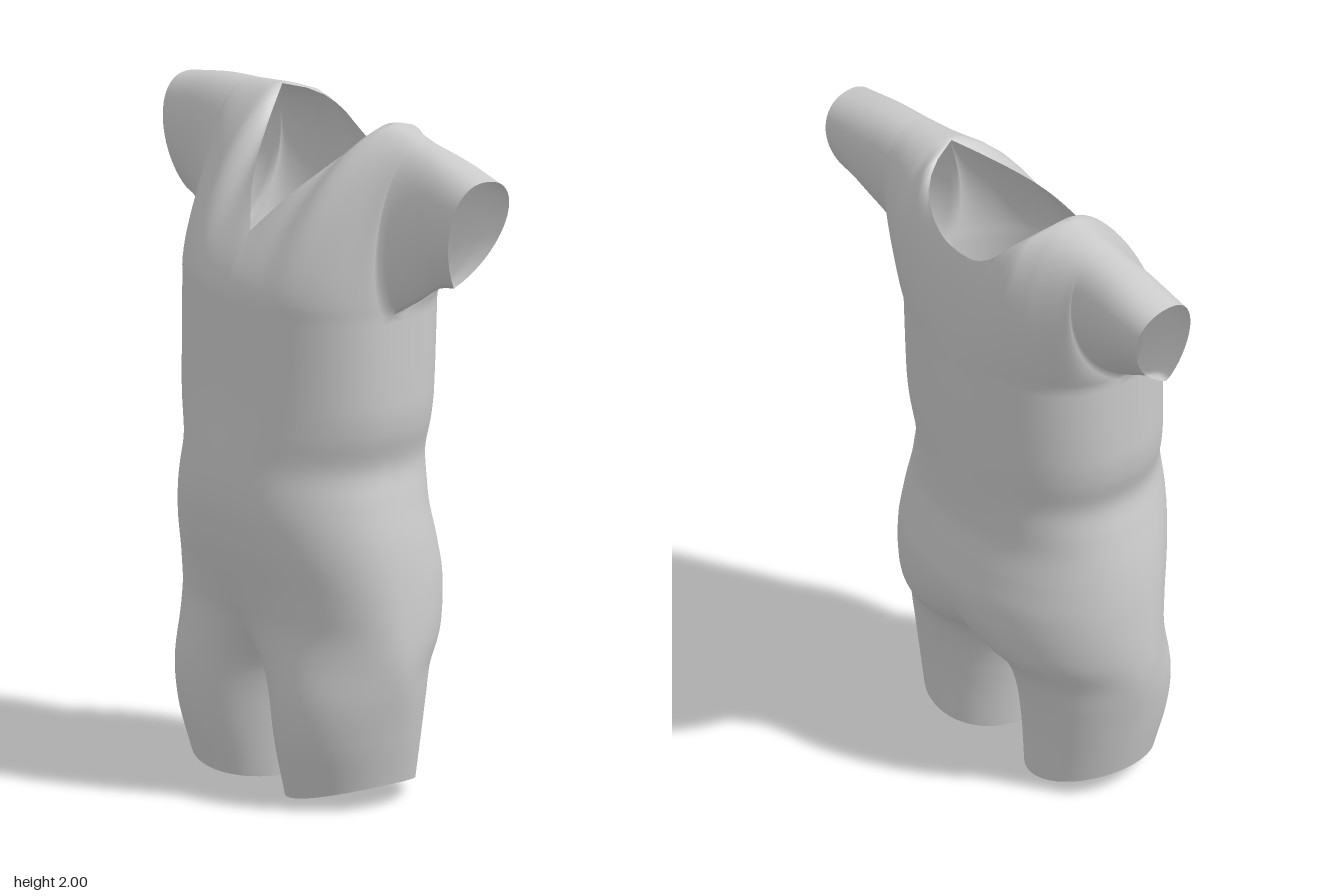
import * as THREE from 'three';
import { mergeGeometries, mergeVertices } from 'three/addons/utils/BufferGeometryUtils.js';

// Smooth curve through [t, value] keys, without overshoot
function keyed(keys) {
  const step = (i) => keys[i + 1][0] - keys[i][0];
  const slope = (i) => (keys[i + 1][1] - keys[i][1]) / step(i);
  const tangent = (i) => {
    if (i === 0) return slope(0);
    if (i === keys.length - 1) return slope(i - 1);
    const a = slope(i - 1), b = slope(i);
    if (a * b <= 0) return 0;
    const limit = 3 * Math.min(Math.abs(a), Math.abs(b));
    return THREE.MathUtils.clamp((a * step(i) + b * step(i - 1)) / (step(i) + step(i - 1)), -limit, limit);
  };
  return (t) => {
    let i = 0;
    while (i < keys.length - 2 && t > keys[i + 1][0]) i++;
    const h = step(i);
    const s = THREE.MathUtils.clamp((t - keys[i][0]) / h, 0, 1);
    const s2 = s * s, s3 = s2 * s;
    return (2 * s3 - 3 * s2 + 1) * keys[i][1] + (s3 - 2 * s2 + s) * h * tangent(i)
      + (3 * s2 - 2 * s3) * keys[i + 1][1] + (s3 - s2) * h * tangent(i + 1);
  };
}

// Grid surface; point(i, j) returns [x, y, z]
function sheet(cols, rows, point, flip) {
  const pos = [], index = [];
  for (let j = 0; j <= rows; j++) for (let i = 0; i <= cols; i++) pos.push(...point(i, j));
  for (let j = 0; j < rows; j++) for (let i = 0; i < cols; i++) {
    const a = j * (cols + 1) + i, b = a + 1, c = b + cols + 1, d = a + cols + 1;
    index.push(...(flip ? [a, c, b, a, d, c] : [a, b, c, a, c, d]));
  }
  const g = new THREE.BufferGeometry();
  g.setAttribute('position', new THREE.Float32BufferAttribute(pos, 3));
  g.setIndex(index);
  return g;
}

const COLS = 28, SLEEVE_COLS = 12, CROTCH = 0.42, CHEST = 1.48, CHEST_W = 0.41;

// Body outline by height
const halfWidth = keyed([[0.03, 0.4], [0.2, 0.435], [0.45, 0.47], [0.6, 0.46], [0.8, 0.43],
  [0.92, 0.4], [1.01, 0.38], [1.12, 0.405], [1.2, 0.413], [1.48, CHEST_W]]);
const frontZ = keyed([[0.03, 0.2], [0.2, 0.245], [0.38, 0.26], [0.51, 0.257], [0.6, 0.273],
  [0.78, 0.32], [0.9, 0.335], [1.2, 0.306], [1.48, 0.29]]);
const backZ = keyed([[0.03, -0.185], [0.2, -0.195], [0.3, -0.21], [0.4, -0.245], [0.48, -0.305],
  [0.55, -0.328], [0.65, -0.337], [0.75, -0.32], [0.88, -0.296], [1.2, -0.315], [1.48, -0.325]]);
// Squareness of the cross-section
const frontPower = keyed([[0.4, 2], [0.9, 2], [1.48, 2.25]]);
const backPower = keyed([[0.4, 2.1], [0.9, 2.2], [1.48, 2.4]]);
// How far the section has split into two round legs
const split = keyed([[0.03, 0.97], [0.2, 0.93], [0.32, 0.75], [CROTCH, 0.38], [0.47, 0.2], [0.53, 0.08], [0.64, 0]]);

const colU = (i) => (1 - Math.cos(Math.PI * i / COLS)) / 2;
function sectionZ(u, y, side) {
  const power = (side > 0 ? frontPower : backPower)(y), k = split(y);
  const body = Math.pow(Math.max(0, 1 - Math.pow(u, power)), 1 / power);
  const leg = Math.pow(Math.max(0, 1 - (2 * u - 1) ** 2), THREE.MathUtils.lerp(0.9, 0.5, k));
  return (side > 0 ? frontZ(y) : backZ(y)) * THREE.MathUtils.lerp(body, leg, k);
}

// Torso, from crotch to armpits
function torso(side) {
  const rows = 50;
  return sheet(COLS, rows, (i, j) => {
    const y = THREE.MathUtils.lerp(CROTCH, CHEST, j / rows), u = colU(i);
    return [halfWidth(y) * u, y, sectionZ(u, y, side)];
  }, side < 0);
}

// Short leg with a hem that rises outwards
function legPoint(u, v, z) {
  const y = THREE.MathUtils.lerp(0.035, CROTCH, v);
  const inner = 0.042 * Math.pow(1 - v, 0.8);
  const hem = (0.07 * Math.pow(u, 1.7) - 0.035) * (1 - v);
  return [THREE.MathUtils.lerp(inner, halfWidth(y), u), y + hem, z(y)];
}
const LEG_ROWS = 20;
const legSide = (side) => sheet(COLS, LEG_ROWS,
  (i, j) => legPoint(colU(i), j / LEG_ROWS, (y) => sectionZ(colU(i), y, side)), side < 0);
const legInner = () => sheet(8, LEG_ROWS, (i, j) => legPoint(0, j / LEG_ROWS,
  (y) => THREE.MathUtils.lerp(sectionZ(0, y, -1), sectionZ(0, y, 1), i / 8)), false);

// Yoke and sleeve: Bezier arcs from the chest line up to the neckline or shoulder.
// Handle stations: x, lower z, lower y, upper z, upper y
const handles = (stations) => [1, 2, 3, 4].map((k) => keyed(stations.map((s) => [s[0], s[k]])));
const frontHandles = handles([
  [0, 0.287, 1.55, 0.25, 1.61], [0.125, 0.282, 1.58, 0.17, 1.72], [0.25, 0.257, 1.62, 0.03, 2.0],
  [0.34, 0.197, 1.62, 0.015, 1.985], [0.41, 0.11, 1.6, 0.03, 1.98], [0.5, 0.04, 1.65, 0.03, 1.97],
  [0.63, 0.02, 1.72, 0.02, 1.93]]);
const backHandles = handles([
  [0, -0.328, 1.6, -0.32, 1.74], [0.125, -0.332, 1.6, -0.32, 1.77], [0.25, -0.335, 1.7, -0.295, 2.0],
  [0.34, -0.3, 1.67, -0.285, 1.985], [0.41, -0.27, 1.6, -0.285, 1.98], [0.5, -0.27, 1.66, -0.27, 1.97],
  [0.63, -0.24, 1.71, -0.27, 1.93]]);
const shoulderY = keyed([[0.25, 2.0], [0.34, 1.99], [0.41, 1.98], [0.5, 1.965], [0.63, 1.93]]);
const underarmY = keyed([[0.41, CHEST], [0.5, 1.54], [0.58, 1.595], [0.63, 1.605]]);
const underarmZ = keyed([[0.41, 0], [0.5, -0.03], [0.63, -0.055]]);
const vNeckZ = keyed([[0, 0.2], [0.1, 0.11], [0.2, -0.03], [0.25, -0.11]]);
const backNeckY = keyed([[0, 1.825], [0.06, 1.832], [0.125, 1.87], [0.2, 1.95], [0.25, 2.0]]);
const backNeckZ = keyed([[0, -0.295], [0.125, -0.285], [0.19, -0.245], [0.225, -0.19], [0.25, -0.11]]);

function yokeAndSleeve(side) {
  const rows = 24;
  return sheet(COLS + SLEEVE_COLS, rows, (i, j) => {
    const onSleeve = i > COLS;
    const x = onSleeve ? THREE.MathUtils.lerp(CHEST_W, 0.63, (i - COLS) / SLEEVE_COLS) : CHEST_W * colU(i);
    const z0 = onSleeve ? underarmZ(x) : sectionZ(colU(i), CHEST, side);
    const y0 = onSleeve ? underarmY(x) : CHEST;
    let z3 = -0.11, y3 = shoulderY(x);
    if (x < 0.25) {
      z3 = side > 0 ? vNeckZ(x) : backNeckZ(x);
      y3 = side > 0 ? 1.675 + 1.3 * x : backNeckY(x);
    }
    const [z1, y1, z2, y2] = (side > 0 ? frontHandles : backHandles).map((f) => f(x));
    const t = j / rows, s = 1 - t;
    const bez = (a, b, c, d) => s * s * s * a + 3 * s * s * t * b + 3 * s * t * t * c + t * t * t * d;
    const y = bez(y0, y1, y2, y3);
    // Cuff leans outwards towards the shoulder
    const lean = Math.max(0, (x - CHEST_W) / 0.22) * 0.07;
    return [x + lean * Math.pow(Math.max(0, (y - y0) / (y3 - y0)), 0.8), y, bez(z0, z1, z2, z3)];
  }, side < 0);
}

// Mirror to the other half, keeping faces outward
function mirrored(g) {
  const m = g.clone().scale(-1, 1, 1);
  m.setIndex(Array.from(g.index.array).reverse());
  return m;
}

export function createModel() {
  const half = [legInner()];
  for (const side of [1, -1]) half.push(torso(side), legSide(side), yokeAndSleeve(side));
  const geometry = mergeVertices(mergeGeometries([...half, ...half.map(mirrored)]), 1e-4);
  geometry.computeVertexNormals();

  const suit = new THREE.Mesh(geometry,
    new THREE.MeshStandardMaterial({ color: 0xcccccc, side: THREE.DoubleSide }));
  suit.name = 'shortSleevedBodysuit';
  const group = new THREE.Group();
  group.name = 'garment';
  group.add(suit);
  return group;
}
